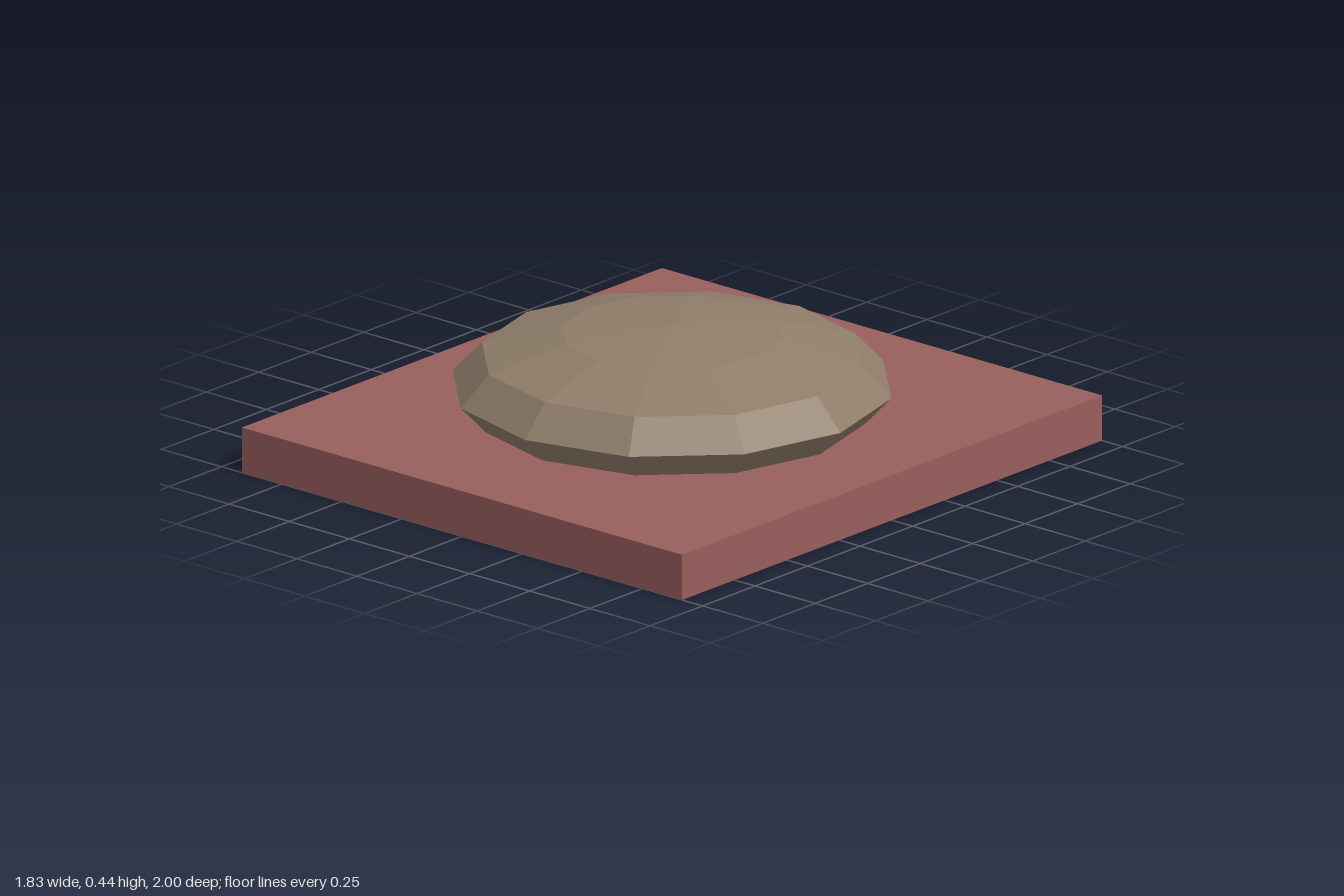
import * as THREE from 'three';

export function createModel() {
  const model = new THREE.Group();

  const add = (name, geometry, color, y) => {
    const material = new THREE.MeshStandardMaterial({ color, flatShading: true });
    const mesh = new THREE.Mesh(geometry, material);
    mesh.name = name;
    mesh.position.y = y;
    model.add(mesh);
    return mesh;
  };

  // Flat rectangular slab
  add('basePlate', new THREE.BoxGeometry(1.83, 0.15, 2), 0x985f5d, 0.075);

  // Flattened low-poly dome, its underside sunk into the slab
  const dome = add('dome', new THREE.SphereGeometry(0.7, 12, 6), 0x8f7d69, 0.24);
  dome.scale.y = 0.2 / 0.7;

  return model;
}
